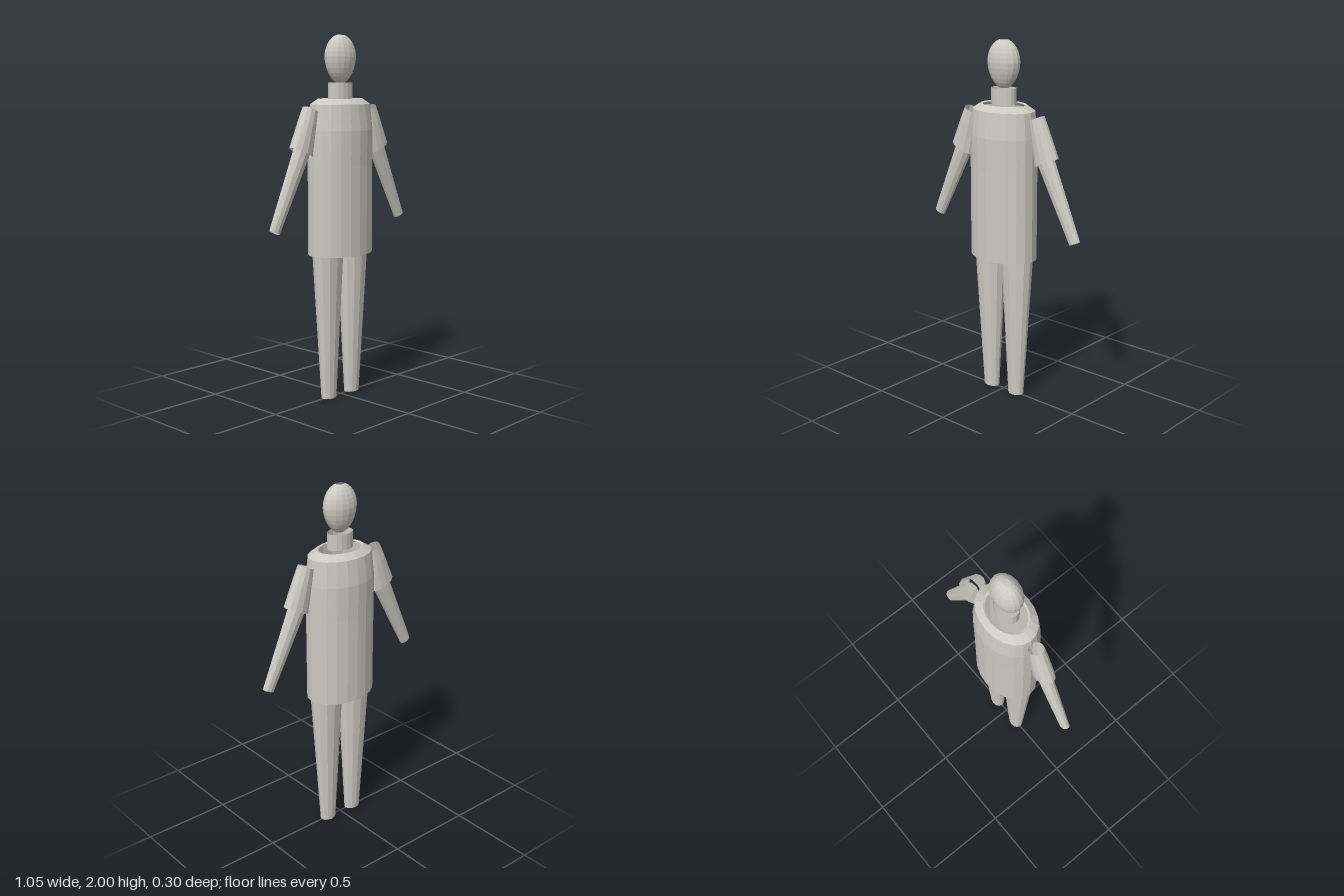
import * as THREE from 'three';

const lightGrey = new THREE.MeshStandardMaterial({ color: 0xcccac4 });
lightGrey.name = 'lightGrey';
lightGrey.flatShading = true;
lightGrey.side = THREE.DoubleSide;

// Open tube through elliptical rings, listed top to bottom.
// Ring: [centre x, centre y, radius x, radius z]; tilt leans every ring about z.
function tube(name, rings, segments, tilt = 0) {
  const geometry = new THREE.CylinderGeometry(1, 1, 1, segments, rings.length - 1, true);
  const position = geometry.attributes.position;
  for (let i = 0; i < position.count; i++) {
    const [cx, cy, rx, rz] = rings[Math.floor(i / (segments + 1))];
    const across = position.getX(i) * rx;
    position.setXYZ(i, cx + across * Math.cos(tilt), cy + across * Math.sin(tilt), position.getZ(i) * rz);
  }
  geometry.computeVertexNormals();
  const mesh = new THREE.Mesh(geometry, lightGrey);
  mesh.name = name;
  return mesh;
}

export function createModel() {
  const model = new THREE.Group();
  model.name = 'figure';

  // Egg-shaped head, open at the crown and chin
  const headRings = [];
  const rows = 12;
  for (let i = 0; i <= rows; i++) {
    const a = 0.26 + (i / rows) * (Math.PI - 0.56);
    const c = Math.cos(a);
    const y = c > 0 ? 1.88 + c * 0.124 : 1.88 + c * 0.141;
    const r = Math.sin(a) * (c < 0 ? 1 + 0.1 * c : 1);
    headRings.push([0, y, 0.1 * r, 0.072 * r]);
  }
  model.add(tube('head', headRings, 16));

  // Neck
  model.add(tube('neck', [[0, 1.745, 0.077, 0.056], [0, 1.658, 0.077, 0.056]], 16));

  // Torso with sloped shoulders around the neck opening
  model.add(tube('torso', [
    [0, 1.655, 0.127, 0.091],
    [0, 1.66, 0.14, 0.1],
    [0, 1.63, 0.19, 0.135],
    [0, 1.49, 0.203, 0.151],
    [0, 1.3, 0.205, 0.147],
    [0, 0.81, 0.205, 0.147],
  ], 20));

  // Arms and legs, mirrored
  for (const [side, s] of [['left', 1], ['right', -1]]) {
    const lean = -0.42 * s;
    model.add(tube(side + 'Sleeve', [
      [0.23 * s, 1.605, 0.046, 0.04],
      [0.255 * s, 1.54, 0.066, 0.05],
      [0.3 * s, 1.38, 0.077, 0.05],
    ].map((r, i) => (i === 1 ? [0.254 * s, 1.53, 0.056, 0.046] : r)), 12, s * 0.42));
    model.add(tube(side + 'Forearm', [
      [0.294 * s, 1.387, 0.054, 0.038],
      [0.495 * s, 0.975, 0.034, 0.024],
    ], 10, -lean));
    model.add(tube(side + 'Leg', [
      [0.098 * s, 0.82, 0.097, 0.073],
      [0.092 * s, 0, 0.048, 0.036],
    ], 12));
  }
  return model;
}
